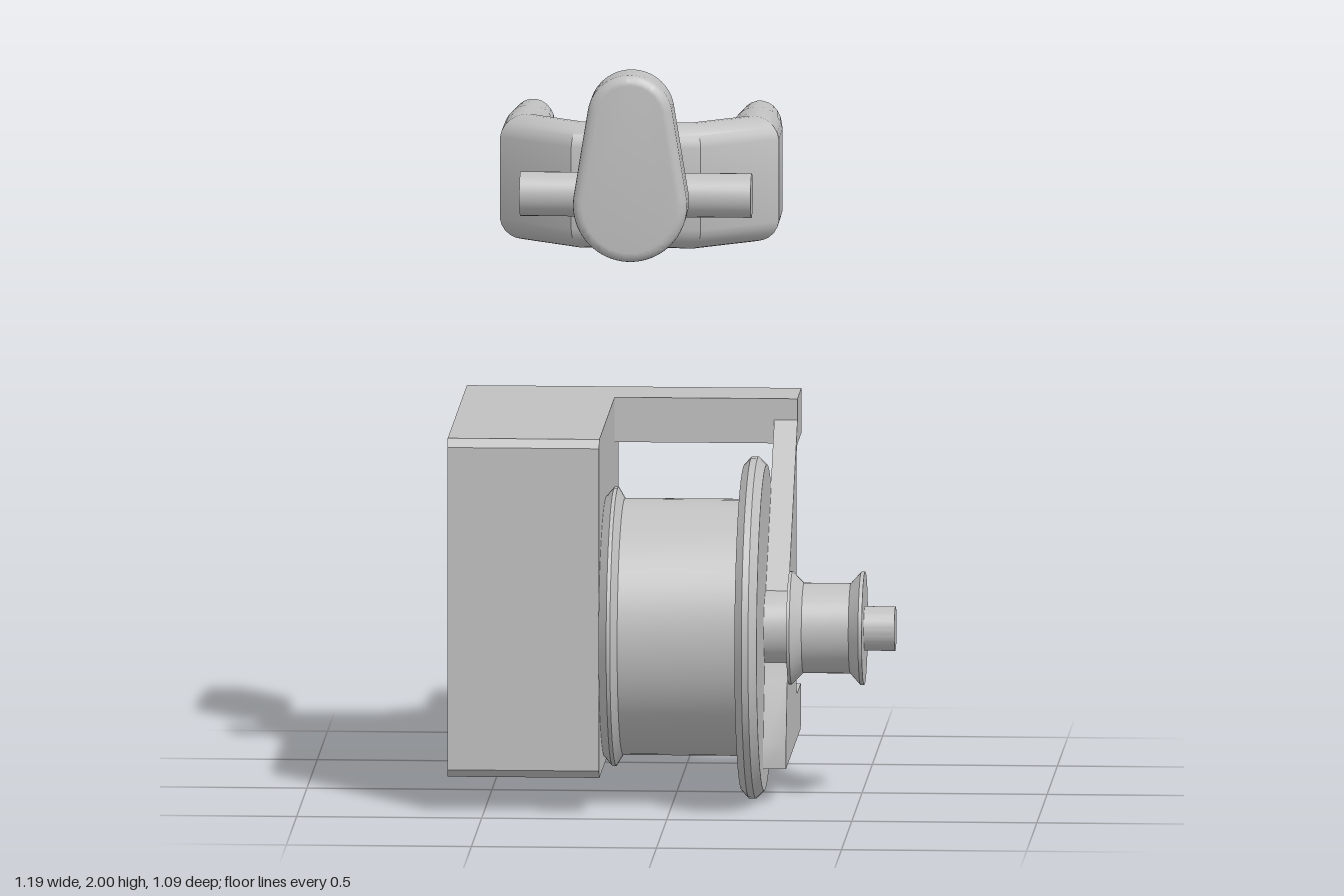
import * as THREE from 'three';
import { toCreasedNormals } from 'three/addons/utils/BufferGeometryUtils.js';

const AXLE_Y = 0.465, AXLE_Z = 0.083;

export function createModel() {
  const model = new THREE.Group();
  model.name = 'winchAssembly';
  const grey = new THREE.MeshStandardMaterial({ color: 0xc0c0c0 });
  grey.name = 'light grey';

  function add(name, geometry, parent = model) {
    const mesh = new THREE.Mesh(toCreasedNormals(geometry, 0.5), grey);
    mesh.name = name;
    parent.add(mesh);
    return mesh;
  }
  const polygon = (pts) => new THREE.Shape(pts.map((p) => new THREE.Vector2(...p)));

  // Extrude a (z, y) outline along x, from x0 to x1
  function sideExtrude(shape, x0, x1) {
    const geo = new THREE.ExtrudeGeometry(shape, { depth: x1 - x0, bevelEnabled: false, curveSegments: 10 });
    return geo.rotateY(-Math.PI / 2).translate(x1, 0, 0);
  }
  // Turn a list of [x, radius] about the axle
  function turned(profile) {
    const geo = new THREE.LatheGeometry(profile.map(([x, r]) => new THREE.Vector2(r, x)), 64);
    return geo.rotateZ(-Math.PI / 2).translate(0, AXLE_Y, AXLE_Z);
  }

  // --- Housing ---
  const housing = new THREE.Group();
  housing.name = 'housing';
  model.add(housing);

  // Back frame: block rear plus upper and lower beams, with bored holes and a leaning back face
  const back = polygon([[-0.598, 0.098], [0.306, 0.098], [0.306, 0.22], [-0.188, 0.22],
    [-0.188, 0.9], [0.306, 0.9], [0.306, 1.022], [-0.598, 1.022]]);
  for (const [x, y, r] of [[-0.36, AXLE_Y, 0.1], [0.046, 0.16, 0.028]]) {
    back.holes.push(new THREE.Path().absarc(x, y, r, 0, Math.PI * 2, true));
  }
  const backGeo = new THREE.ExtrudeGeometry(back, { depth: 0.19, bevelEnabled: false, curveSegments: 20 });
  backGeo.translate(0, 0, -0.545);
  const pos = backGeo.attributes.position;
  for (let i = 0; i < pos.count; i++) {
    if (pos.getZ(i) < -0.5) pos.setZ(i, -0.51 - 0.035 * (pos.getY(i) - 0.098) / 0.924);
  }
  add('backFrame', backGeo, housing);

  // Front block with chamfered upper and lower front edges
  add('frontBlock', sideExtrude(polygon([[-0.355, 0.098], [0.387, 0.098], [0.41, 0.12],
    [0.41, 1.0], [0.387, 1.022], [-0.355, 1.022]]), -0.598, -0.188), housing);

  // Bearing plate with filleted rear edge
  const plate = new THREE.Shape();
  plate.moveTo(-0.356, 0.098);
  plate.lineTo(0.203, 0.098);
  plate.lineTo(0.203, 0.165);
  plate.lineTo(0.145, 0.33);
  plate.lineTo(0.1, 0.467);
  plate.lineTo(0.1, 0.543);
  plate.lineTo(-0.356, 0.965);
  plate.lineTo(-0.356, 0.9);
  plate.quadraticCurveTo(-0.305, 0.9, -0.305, 0.85);
  plate.lineTo(-0.305, 0.27);
  plate.quadraticCurveTo(-0.305, 0.22, -0.356, 0.22);
  add('bearingPlate', sideExtrude(plate, 0.243, 0.306), housing);

  // --- Spool and pulley on the axle ---
  add('spool', turned([[-0.188, 0], [-0.188, 0.352], [-0.166, 0.377], [-0.156, 0.377], [-0.138, 0.347],
    [0.184, 0.347], [0.184, 0.44], [0.204, 0.462], [0.222, 0.462], [0.244, 0.44], [0.244, 0]]));
  add('pulley', turned([[0.24, 0], [0.24, 0.1], [0.308, 0.1], [0.308, 0.153], [0.316, 0.153],
    [0.347, 0.122], [0.474, 0.122], [0.502, 0.153], [0.512, 0.153], [0.512, 0]]));
  add('axleEnd', turned([[0.5, 0], [0.5, 0.06], [0.595, 0.06], [0.595, 0]]));

  // --- Handle: lever, stem and cross pin ---
  const handle = new THREE.Group();
  handle.name = 'handle';
  handle.position.set(-0.112, 1.644, 0);
  model.add(handle);

  add('stem', new THREE.CylinderGeometry(0.099, 0.099, 0.26, 40)
    .rotateX(Math.PI / 2).translate(0, 0, 0.06), handle);
  add('crossPin', new THREE.CylinderGeometry(0.06, 0.06, 0.625, 32)
    .rotateZ(Math.PI / 2).translate(0.006, 0, AXLE_Z), handle);

  const tilt = 0.155;
  const lever = new THREE.Shape();
  lever.absarc(0, 0, 0.154, Math.PI - tilt, 2 * Math.PI + tilt, false);
  lever.absarc(0, 0.241, 0.115, tilt, Math.PI - tilt, false);
  lever.closePath();
  add('lever', new THREE.ExtrudeGeometry(lever, { depth: 0.1, bevelEnabled: false, curveSegments: 24 })
    .translate(0, 0, 0.175), handle);
  add('leverRoundedFace', new THREE.ExtrudeGeometry(lever, {
    depth: 0.05, bevelThickness: 0.025, bevelSize: 0.025, bevelOffset: -0.025, bevelSegments: 4, curveSegments: 24,
  }).translate(0, 0, 0.225), handle);

  // --- Fork: rounded section swept through mitred bends ---
  // Each station: outer x, outer z, inner x, inner z, half height
  const half = [[-0.365, -0.545, -0.248, -0.545, 0.162], [-0.376, -0.38, -0.239, -0.38, 0.171],
    [-0.377, -0.19, -0.238, -0.25, 0.171], [-0.175, -0.018, -0.127, -0.155, 0.171]];
  const stations = [...half, ...half.slice().reverse().map(([a, b, c, d, h]) => [-a, b, -c, d, h])];
  const N = 24;
  const points = [], index = [];
  for (const [ox, oz, ix, iz, h] of stations) {
    for (let j = 0; j < N; j++) {
      const a = ((j + 0.5) / N) * Math.PI * 2;
      const t = 0.5 + 0.5 * Math.cos(a) / Math.cos(Math.PI / N);
      const y = Math.sin(a) * 0.068 + Math.sign(Math.sin(a)) * (h - 0.068);
      points.push(ix + (ox - ix) * t, y, iz + (oz - iz) * t);
    }
  }
  for (let i = 0; i < stations.length - 1; i++) {
    for (let j = 0; j < N; j++) {
      const a = i * N + j, b = i * N + (j + 1) % N;
      index.push(a, a + N, b, b, a + N, b + N);
    }
  }
  const last = (stations.length - 1) * N;
  for (let j = 1; j < N - 1; j++) {
    index.push(0, j, j + 1, last, last + j + 1, last + j);
  }
  const forkGeo = new THREE.BufferGeometry();
  forkGeo.setAttribute('position', new THREE.Float32BufferAttribute(points, 3));
  forkGeo.setIndex(index);
  add('fork', forkGeo, handle);

  return model;
}
